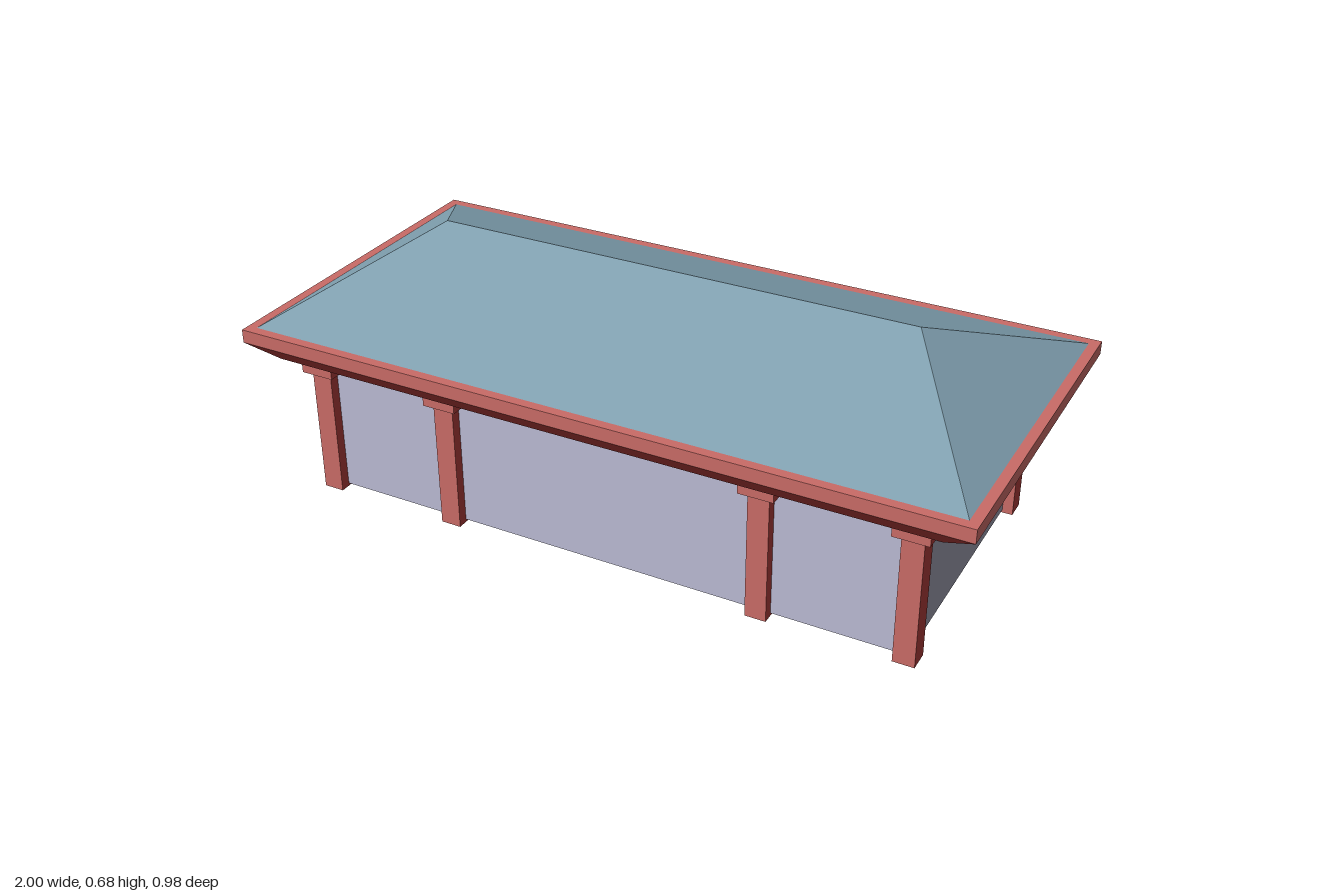
import * as THREE from 'three';

const mat = (name, color) => {
  const m = new THREE.MeshStandardMaterial({ color, side: THREE.DoubleSide, flatShading: true });
  m.name = name;
  return m;
};

// Quads given as four corners, counter-clockwise from outside
function quads(list) {
  const pos = [];
  for (const [a, b, c, d] of list) pos.push(...a, ...b, ...c, ...a, ...c, ...d);
  const g = new THREE.BufferGeometry();
  g.setAttribute('position', new THREE.Float32BufferAttribute(pos, 3));
  g.computeVertexNormals();
  return g;
}

// Rectangle corners at one height, front-left round to the back
const ring = (x, y, z) => [[-x, y, z], [x, y, z], [x, y, -z], [-x, y, -z]];
// Four faces joining a lower ring to an upper ring
const band = (lo, hi) => quads([0, 1, 2, 3].map((i) => {
  const j = (i + 1) % 4;
  return [lo[i], lo[j], hi[j], hi[i]];
}));

export function createModel() {
  const trim = mat('trim red', 0xc96b67);
  const deep = mat('deep red', 0xab3a38);
  const wall = mat('long wall grey', 0xbbbbd4);
  const endWall = mat('end wall grey', 0x9a9aad);
  const tile = mat('roof blue', 0x80a0b0);

  const model = new THREE.Group();
  model.name = 'pavilion';
  const add = (name, geo, material, parent = model) => {
    const mesh = new THREE.Mesh(geo, material);
    mesh.name = name;
    parent.add(mesh);
    return mesh;
  };

  // Thin walls, open below
  const wx = 0.83, wz = 0.368, y0 = 0.008, y1 = 0.407;
  for (const s of [1, -1]) {
    const long = add(s > 0 ? 'frontWall' : 'backWall', new THREE.PlaneGeometry(2 * wx, y1 - y0), wall);
    long.position.set(0, (y0 + y1) / 2, s * wz);
    if (s < 0) long.rotation.y = Math.PI;
    const end = add(s > 0 ? 'leftWall' : 'rightWall', new THREE.PlaneGeometry(2 * wz, y1 - y0), endWall);
    end.position.set(s * wx, (y0 + y1) / 2, 0);
    end.rotation.y = s * Math.PI / 2;
  }

  // Pillars with capitals: sides deep red, fronts and backs trim red
  const faces = [deep, deep, trim, deep, trim, trim];
  const shaftGeo = new THREE.BoxGeometry(0.057, 0.362, 0.057);
  // Hollow shaft: drop the bottom face
  shaftGeo.groups = shaftGeo.groups.filter((g) => g.materialIndex !== 3);
  const capGeo = new THREE.BoxGeometry(0.094, 0.049, 0.094);
  for (const x of [-wx, -0.445, 0.445, wx]) {
    for (const z of [-wz, wz]) {
      const pillar = new THREE.Group();
      pillar.name = 'pillar';
      pillar.position.set(x, 0, z);
      add('shaft', shaftGeo, faces, pillar).position.y = 0.181;
      add('capital', capGeo, faces, pillar).position.y = 0.3835;
      model.add(pillar);
    }
  }

  // Flared soffit with its flat ceiling
  const low = ring(0.915, 0.406, 0.45), eave = ring(1, 0.452, 0.49);
  add('soffit', band(low, eave), deep);
  add('ceiling', quads([[...low].reverse()]), deep);

  // Fascia and the narrow rim around the roof
  const top = ring(1, 0.489, 0.49), inner = ring(0.973, 0.489, 0.463);
  add('fascia', band(eave, top), trim);
  add('rim', band(top, inner), trim);

  // Hipped roof: the upper ring collapses to the ridge
  add('roof', band(inner, ring(0.676, 0.675, 0)), tile);

  return model;
}
